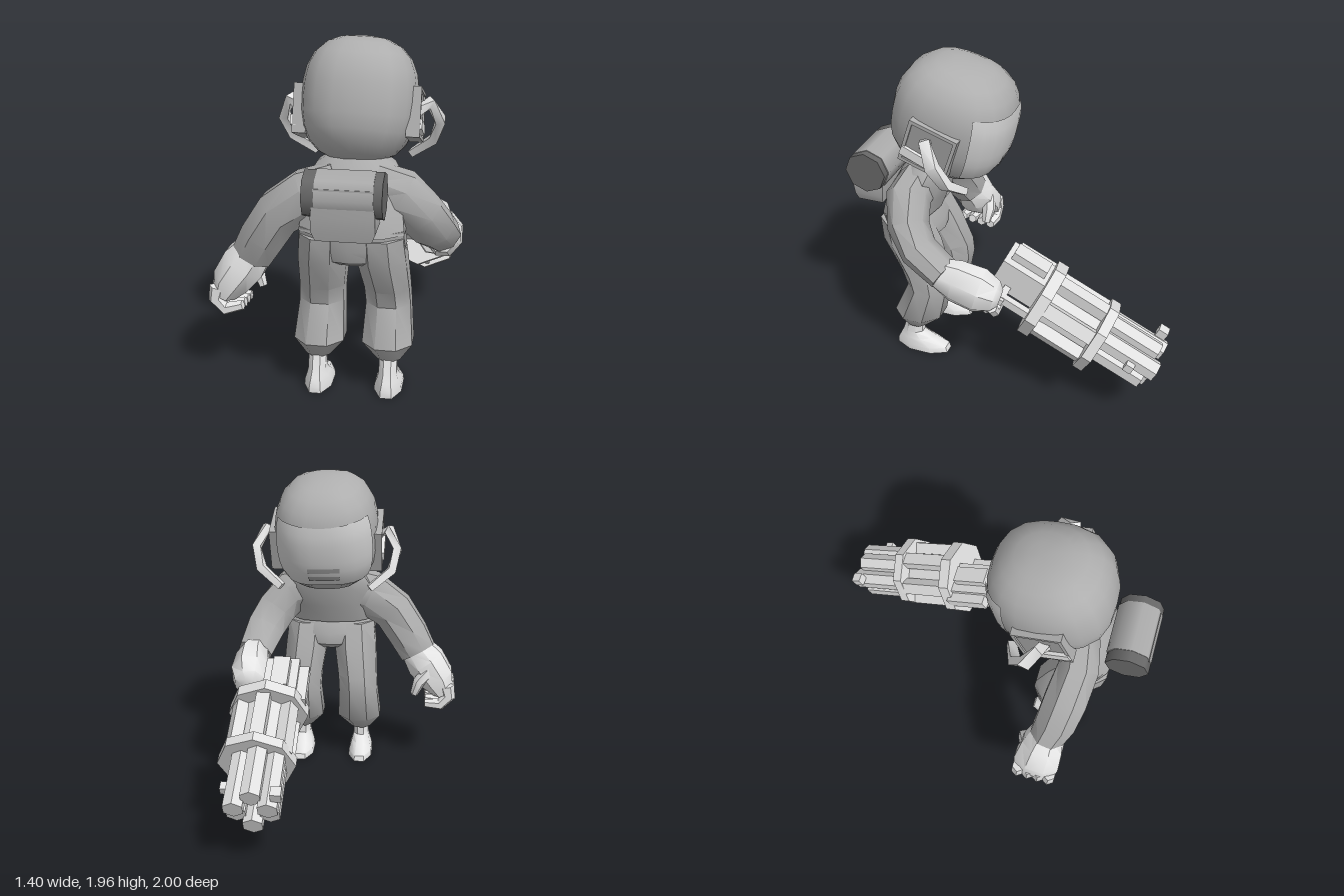
import * as THREE from 'three';
import { toCreasedNormals } from 'three/addons/utils/BufferGeometryUtils.js';

const V = (x, y, z) => new THREE.Vector3(x, y, z);
const DOWN = V(0, -1, 0), X = V(1, 0, 0), Z = V(0, 0, 1);
const MID = 0.13; // the body's own centre line

function mat(name, color) {
  const m = new THREE.MeshStandardMaterial({ color });
  m.name = name;
  return m;
}

// Skin through rings [x, y, z, halfWidthAlongRef, halfWidthAcross]
function loft(rings, { ref = X, dir = null, sides = 8, crease = 0.75 } = {}) {
  const pos = [], idx = [], n = rings.length;
  const c = rings.map(r => V(r[0], r[1], r[2]));
  const k = 1 / Math.cos(Math.PI / sides);
  rings.forEach((r, i) => {
    const t = dir ? dir.clone()
      : c[Math.min(i + 1, n - 1)].clone().sub(c[Math.max(i - 1, 0)]).normalize();
    const u = ref.clone().addScaledVector(t, -ref.dot(t)).normalize();
    const v = t.clone().cross(u);
    for (let j = 0; j < sides; j++) {
      const a = (j + 0.5) / sides * Math.PI * 2;
      const p = c[i].clone().addScaledVector(u, Math.cos(a) * r[3] * k)
        .addScaledVector(v, Math.sin(a) * r[4] * k);
      pos.push(p.x, p.y, p.z);
    }
  });
  for (let i = 0; i < n - 1; i++) for (let j = 0; j < sides; j++) {
    const a = i * sides + j, b = i * sides + (j + 1) % sides;
    idx.push(a, b, a + sides, b, b + sides, a + sides);
  }
  for (let j = 1; j < sides - 1; j++) {
    const e = (n - 1) * sides;
    idx.push(0, j + 1, j, e, e + j, e + j + 1);
  }
  const g = new THREE.BufferGeometry();
  g.setAttribute('position', new THREE.Float32BufferAttribute(pos, 3));
  g.setIndex(idx);
  return toCreasedNormals(g, crease);
}

// Rounded-cube shell, or a patch of one
function shell(scale, phi0 = 0, phiL = Math.PI * 2, th0 = 0, thL = Math.PI, w = 20, h = 14) {
  const g = new THREE.SphereGeometry(1, w, h, phi0, phiL, th0, thL);
  const p = g.attributes.position, n = 2.6;
  for (let i = 0; i < p.count; i++) {
    const v = V(p.getX(i), p.getY(i), p.getZ(i));
    const d = (Math.abs(v.x) ** n + Math.abs(v.y) ** n + Math.abs(v.z) ** n) ** (1 / n);
    v.multiplyScalar(scale / d);
    p.setXYZ(i, v.x * 0.315, v.y * 0.343, v.z * 0.348);
  }
  return toCreasedNormals(g, 0.9);
}

export function createModel() {
  const root = new THREE.Group();
  const suit = mat('suit grey', 0xacacac), helmet = mat('helmet grey', 0xaeaeae);
  const visor = mat('visor grey', 0xd0d0d0), pale = mat('pale skin grey', 0xe6e6e6);
  const metal = mat('gun metal', 0xe0e0e0), dark = mat('dark grey', 0x686868);
  const pad = mat('pad grey', 0x9c9c9c);
  const add = (parent, name, geo, m, x = 0, y = 0, z = 0) => {
    const o = new THREE.Mesh(geo, m);
    o.name = name;
    o.position.set(x, y, z);
    parent.add(o);
    return o;
  };
  const box = (a, b, c) => new THREE.BoxGeometry(a, b, c);

  // Head, tipped forward
  const head = new THREE.Group();
  head.name = 'head';
  head.position.set(MID, 1.608, 0.36);
  head.rotation.set(-0.25, 0, -0.04);
  root.add(head);
  add(head, 'helmet', shell(1), helmet);
  add(head, 'visor', shell(1.013, Math.PI * 1.5 - 1.02, 2.04, 1.08, 1.1, 10, 7), visor);
  for (const t of [1.8, 1.96])
    add(head, 'mouthSlot', shell(1.024, Math.PI * 1.5 - 0.3, 0.6, t, 0.09, 4, 1), pad);

  // Ear pads with a raised rim, and bent side pipes
  for (const s of [-1, 1]) {
    const ear = new THREE.Group();
    ear.name = 'earPad';
    ear.position.set(MID + s * 0.305, 1.54, 0.39);
    ear.rotation.x = -0.34;
    root.add(ear);
    add(ear, 'earPlate', box(0.055, 0.25, 0.27), pad);
    for (const e of [-1, 1]) {
      add(ear, 'earRim', box(0.075, 0.02, 0.29), helmet, 0, e * 0.125, 0);
      add(ear, 'earRim', box(0.075, 0.25, 0.02), helmet, 0, 0, e * 0.135);
    }
    add(root, 'sidePipe', loft([[0.31, 1.56, 0.41, 0.03, 0.025], [0.38, 1.61, 0.38, 0.03, 0.025],
      [0.435, 1.5, 0.32, 0.035, 0.025], [0.4, 1.38, 0.26, 0.03, 0.025], [0.27, 1.28, 0.21, 0.025, 0.02]]
      .map(([x, ...r]) => [MID + s * x, ...r]), { ref: Z, sides: 4 }), pale);
    add(root, 'earBar', box(0.03, 0.055, 0.21), pale, MID + s * 0.338, 1.485, 0.45).rotation.x = -0.42;
  }

  // Torso and hips
  const flat = { dir: DOWN, sides: 10 };
  add(root, 'torso', loft([[MID, 1.37, 0.46, 0.1, 0.1], [MID, 1.3, 0.5, 0.21, 0.13],
    [MID, 1.2, 0.55, 0.27, 0.16], [MID, 1.08, 0.61, 0.27, 0.17], [MID, 0.96, 0.65, 0.285, 0.16]], flat), suit);
  add(root, 'hips', loft([[MID, 0.98, 0.66, 0.28, 0.14], [MID, 0.88, 0.63, 0.29, 0.16],
    [MID, 0.81, 0.62, 0.26, 0.15], [MID, 0.775, 0.61, 0.2, 0.1]], flat), suit);

  // Legs, cuffs and feet
  for (const s of [-1, 1]) {
    const x = d => MID + s * d;
    add(root, 'leg', loft([[x(0.15), 0.94, 0.65, 0.13, 0.14], [x(0.16), 0.8, 0.61, 0.135, 0.165],
      [x(0.182), 0.6, 0.52, 0.125, 0.14], [x(0.188), 0.5, 0.5, 0.125, 0.125],
      [x(0.192), 0.29, 0.57, 0.14, 0.15], [x(0.2), 0.19, 0.59, 0.065, 0.065]], { dir: DOWN }), suit);
    add(root, 'foot', loft([[x(0.2), 0.21, 0.61, 0.05, 0.05], [x(0.2), 0.12, 0.625, 0.05, 0.065],
      [x(0.2), 0.08, 0.605, 0.06, 0.105], [x(0.2), 0.035, 0.565, 0.075, 0.165],
      [x(0.2), 0, 0.56, 0.078, 0.17]], { dir: DOWN }), pale);
  }

  // Hanging arm and open hand
  const byZ = { ref: Z };
  add(root, 'rightArm', loft([[0.04, 1.18, 0.58, 0.11, 0.13], [-0.12, 1.13, 0.61, 0.12, 0.14],
    [-0.28, 1.02, 0.59, 0.125, 0.13], [-0.38, 0.87, 0.57, 0.12, 0.125], [-0.45, 0.75, 0.54, 0.105, 0.115]], byZ), suit);
  add(root, 'rightHand', loft([[-0.43, 0.78, 0.54, 0.09, 0.1], [-0.5, 0.69, 0.53, 0.125, 0.125],
    [-0.58, 0.58, 0.52, 0.14, 0.11], [-0.62, 0.5, 0.52, 0.125, 0.07]], byZ), pale);
  for (let i = 0; i < 4; i++) {
    const z = 0.42 + i * 0.066;
    add(root, 'rightFinger', loft([[-0.64, 0.56, z, 0.035, 0.045], [-0.655, 0.49, z, 0.035, 0.04],
      [-0.6, 0.43, z, 0.035, 0.035], [-0.5, 0.435 + i * 0.008, z, 0.026, 0.025]], { ref: Z, sides: 6 }), pale);
  }
  add(root, 'rightThumb', loft([[-0.53, 0.66, 0.44, 0.04, 0.04], [-0.46, 0.59, 0.41, 0.04, 0.035],
    [-0.43, 0.5, 0.42, 0.025, 0.022]], { ref: Z, sides: 6 }), pale);

  // Forward arm and gripping hand
  add(root, 'leftArm', loft([[0.24, 1.19, 0.56, 0.11, 0.12], [0.38, 1.15, 0.57, 0.12, 0.13],
    [0.485, 1.03, 0.53, 0.11, 0.125], [0.55, 0.92, 0.44, 0.1, 0.12], [0.59, 0.82, 0.27, 0.09, 0.105]], byZ), suit);
  add(root, 'leftHand', loft([[0.59, 0.82, 0.3, 0.08, 0.09], [0.595, 0.795, 0.2, 0.1, 0.125],
    [0.585, 0.755, 0.06, 0.115, 0.13], [0.575, 0.73, -0.03, 0.09, 0.09], [0.57, 0.72, -0.06, 0.05, 0.05]]), pale);
  for (let i = 0; i < 4; i++) {
    const z = -0.03 + i * 0.05, y = 0.69 + i * 0.012;
    add(root, 'leftFinger', loft([[0.63, y, z, 0.03, 0.03], [0.59, y - 0.06, z, 0.03, 0.03],
      [0.5, y - 0.05, z, 0.028, 0.028], [0.46, y, z, 0.02, 0.02]], { ref: Z, sides: 6 }), pale);
  }

  // Dark bedroll held in a wrapped pack
  add(root, 'bedroll', new THREE.CylinderGeometry(0.127, 0.127, 0.41, 8).rotateZ(Math.PI / 2), dark, 0.125, 1.225, 0.87);
  add(root, 'packWrap', new THREE.CylinderGeometry(0.131, 0.131, 0.3, 8).rotateZ(Math.PI / 2), suit, 0.135, 1.225, 0.868);
  add(root, 'pouch', loft([[0.13, 1.28, 0.88, 0.15, 0.1], [0.13, 1.13, 0.88, 0.165, 0.1],
    [0.13, 1.05, 0.88, 0.165, 0.09], [0.13, 1.0, 0.88, 0.145, 0.08]], { dir: DOWN, sides: 4 }), suit);

  // Rotary gun, muzzle along local -z
  const gun = new THREE.Group();
  gun.name = 'rotaryGun';
  gun.position.set(0.42, 0.66, -0.27);
  gun.rotation.x = -0.45;
  root.add(gun);
  const rod = (r1, r2, len, n) => toCreasedNormals(new THREE.CylinderGeometry(r1, r2, len, n).rotateX(Math.PI / 2), 0.3);
  add(gun, 'rearRing', rod(0.235, 0.235, 0.07, 8), metal);
  add(gun, 'frontRing', rod(0.225, 0.225, 0.06, 8), metal, 0.02, 0, -0.37);
  add(gun, 'core', rod(0.16, 0.13, 0.37, 6), metal, 0.01, 0, -0.185);
  for (let i = 0; i < 6; i++) {
    const a = i * Math.PI / 3 + Math.PI / 6, c = Math.cos(a), s = Math.sin(a);
    const len = 0.4 - (i % 2) * 0.04;
    add(gun, 'barrel', rod(0.062, 0.062, len, 6), metal, c * 0.108, s * 0.1 + 0.015, -0.35 - len / 2);
    const rib = add(gun, 'rib', box(0.07, 0.08, 0.36), metal, 0.01 + c * 0.165, s * 0.165, -0.185);
    rib.rotation.z = a;
  }
  add(gun, 'frontSight', box(0.06, 0.06, 0.06), metal, -0.14, 0.14, -0.69);
  add(gun, 'sideLug', box(0.05, 0.05, 0.05), metal, 0.16, 0.05, -0.6);
  add(gun, 'receiver', box(0.2, 0.2, 0.3), metal, -0.06, 0.02, 0.16);
  add(gun, 'sideBar', box(0.06, 0.07, 0.26), metal, -0.19, 0.06, 0.14);
  add(gun, 'topRail', box(0.1, 0.06, 0.22), metal, -0.06, 0.14, 0.17);
  add(gun, 'grip', box(0.14, 0.04, 0.04), metal, 0.1, -0.05, 0.21);
  add(gun, 'gripPost', box(0.04, 0.05, 0.22), metal, 0.13, -0.05, 0.12);
  return root;
}
